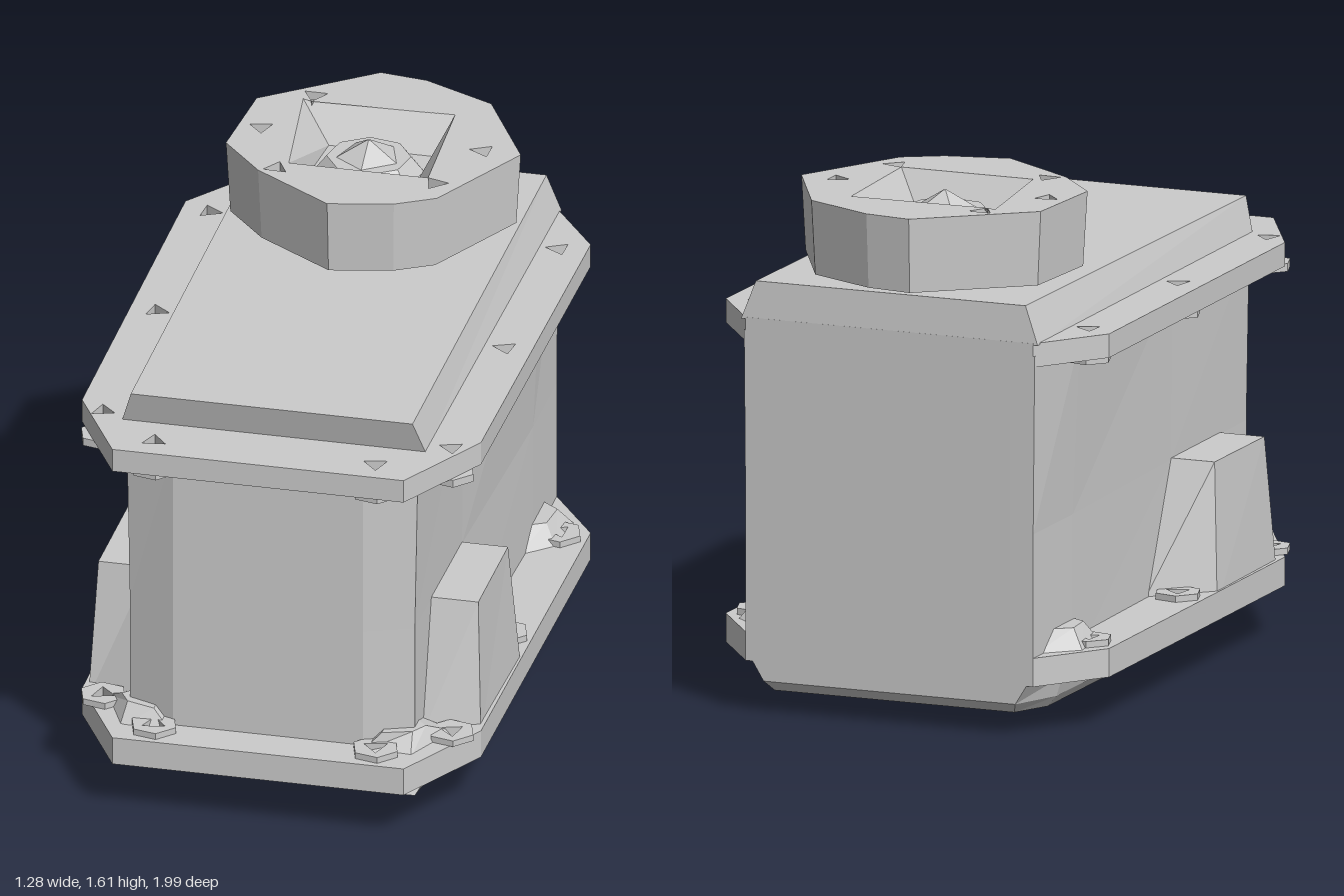
import * as THREE from 'three';

const grey = new THREE.MeshStandardMaterial({ color: 0xcccccc, flatShading: true, side: THREE.DoubleSide });

// Mirrors a half outline [x, z] (front to back, x > 0) into a full loop
const mirror = half => [...half, ...half.map(([x, z]) => [-x, z]).reverse()];
const flip = loop => loop.map(([x, z]) => [-x, z]).reverse();

// Skins levels [y, loop] from bottom to top; each loop runs front, +x, back, -x
function loft(levels, bottom = true, top = true) {
  const rings = levels.map(([y, loop]) => loop.map(([x, z]) => [x, y, z]));
  const n = rings[0].length, pos = [];
  const tri = (a, b, c) => pos.push(...a, ...b, ...c);
  for (let k = 0; k < rings.length - 1; k++) {
    for (let i = 0; i < n; i++) {
      const j = (i + 1) % n, a = rings[k], b = rings[k + 1];
      tri(a[i], a[j], b[j]);
      tri(a[i], b[j], b[i]);
    }
  }
  const last = rings[rings.length - 1];
  for (let i = 1; i < n - 1; i++) {
    if (bottom) tri(rings[0][0], rings[0][i + 1], rings[0][i]);
    if (top) tri(last[0], last[i], last[i + 1]);
  }
  const g = new THREE.BufferGeometry();
  g.setAttribute('position', new THREE.Float32BufferAttribute(pos, 3));
  g.computeVertexNormals();
  return g;
}

const ngon = (cx, cz, r, n, turn = 0) => Array.from({ length: n }, (_, i) => {
  const a = turn + i / n * Math.PI * 2;
  return [cx + r * Math.sin(a), cz + r * Math.cos(a)];
});

// Horizontal plate with holes, from y0 to y1
function plate(loop, holes, y0, y1) {
  const toVec = l => l.map(([x, z]) => new THREE.Vector2(x, -z));
  const shape = new THREE.Shape(toVec(loop));
  for (const h of holes) shape.holes.push(new THREE.Path(toVec(h)));
  const g = new THREE.ExtrudeGeometry(shape, { depth: y1 - y0, bevelEnabled: false });
  return g.rotateX(-Math.PI / 2).translate(0, y0, 0);
}

export function createModel() {
  const model = new THREE.Group();
  const add = (name, geometry, parent = model) => {
    const m = new THREE.Mesh(geometry, grey);
    m.name = name;
    parent.add(m);
    return m;
  };

  // Housing, slightly wider at the rear and pinched at mid height
  const low = mirror([[0.3, 0.86], [0.45, 0.8], [0.46, 0.2], [0.48, -0.63], [0.48, -0.94]]);
  const mid = mirror([[0.3, 0.86], [0.45, 0.8], [0.455, 0.2], [0.48, -0.63], [0.48, -0.94]]);
  const high = mirror([[0.3, 0.86], [0.46, 0.8], [0.46, 0.2], [0.505, -0.63], [0.485, -0.94]]);
  add('housing', loft([[0.16, low], [0.64, mid], [1.2, high]]));

  // Flanges with triangular bolt holes and raised bosses
  const rim = mirror([[0.46, 0.99], [0.63, 0.68], [0.64, -0.72], [0.48, -0.94]]);
  const bolts = [[0.55, -0.67], [0.55, 0.03], [0.55, 0.735], [0.35, 0.9]].flatMap(([x, z]) => [[x, z], [-x, z]]);
  const holes = bolts.map(([x, z], i) => ngon(x, z, 0.042, 3, 0.5 + i));
  const flange = (name, y0, y1, bossY0, bossY1) => {
    const group = new THREE.Group();
    group.name = name;
    add('rim', plate(rim, holes, y0, y1), group);
    bolts.forEach(([x, z], i) =>
      add('boss', plate(ngon(x, z, 0.075, 6, 0.3), [holes[i]], bossY0, bossY1), group));
    model.add(group);
  };
  flange('upperFlange', 1.165, 1.24, 1.14, 1.165);
  flange('lowerFlange', 0.16, 0.25, 0.25, 0.27);

  // Fillets at the housing corners above the lower flange
  const frontFillet = [[0.3, 0.89], [0.46, 0.9], [0.56, 0.68], [0.4, 0.6], [0.3, 0.8]];
  const frontFilletTop = [[0.36, 0.86], [0.45, 0.83], [0.48, 0.78], [0.4, 0.7], [0.36, 0.8]];
  const rearFillet = [[0.45, -0.5], [0.56, -0.6], [0.58, -0.78], [0.45, -0.9]];
  const rearFilletTop = [[0.45, -0.6], [0.52, -0.64], [0.53, -0.74], [0.45, -0.8]];
  for (const f of [l => l, flip]) {
    add('frontFillet', loft([[0.24, f(frontFillet)], [0.3, f(frontFilletTop)]]));
    add('rearFillet', loft([[0.24, f(rearFillet)], [0.31, f(rearFilletTop)]]));

    // Mounting lug on each side
    add('sideLug', loft([
      [0.2, f([[0.44, 0.71], [0.62, 0.64], [0.63, 0.15], [0.44, -0.03]])],
      [0.645, f([[0.44, 0.59], [0.6, 0.59], [0.6, 0.2], [0.44, 0.2]])],
    ]));
  }

  // Sump pan below the lower flange
  add('sumpPan', loft([
    [0.065, mirror([[0.29, 0.8], [0.45, 0.8], [0.46, 0.64], [0.46, -0.78], [0.4, -0.9]])],
    [0.1, mirror([[0.3, 0.82], [0.47, 0.78], [0.49, 0.65], [0.49, -0.78], [0.42, -0.94]])],
    [0.165, mirror([[0.3, 0.85], [0.46, 0.82], [0.51, 0.66], [0.51, -0.78], [0.46, -0.94]])],
  ]));

  // Drain plug with a dimple
  add('drainPlug', loft([
    [0.03, ngon(0, -0.54, 0.035, 6)],
    [0, ngon(0, -0.54, 0.05, 6)],
    [0.002, ngon(0, -0.54, 0.105, 6)],
    [0.07, ngon(0, -0.54, 0.15, 6)],
  ]));

  // Sloped lid
  const lid = loft([
    [1.235, mirror([[0.48, 0.78], [0.495, -0.94]])],
    [1.345, mirror([[0.445, 0.81], [0.45, -0.93]])],
  ]);
  const p = lid.attributes.position;
  for (let i = 0; i < p.count; i++) if (p.getY(i) > 1.3 && p.getZ(i) < 0) p.setY(i, 1.355);
  add('lid', lid);

  // Round cap: neck, lower drum, holed upper drum, tapered recess and stud
  const cap = new THREE.Group();
  cap.name = 'cap';
  model.add(cap);
  const outline = [[-0.04, -0.085], [0.16, -0.13], [0.28, -0.2], [0.46, -0.55], [0.29, -0.87],
    [0.06, -0.98], [-0.09, -1], [-0.42, -0.74], [-0.44, -0.42], [-0.3, -0.26]];
  const base = outline.map(([x, z]) => [x * 0.97, -0.54 + (z + 0.54) * 0.97]);
  const recess = [[-0.22, -0.33], [0.22, -0.33], [0.2, -0.77], [-0.28, -0.77]];
  const floor = [[-0.2, -0.4], [0.14, -0.4], [0.16, -0.69], [-0.18, -0.69]];
  const pockets = [[-0.25, -0.8], [0.25, -0.79], [0.34, -0.55], [0.25, -0.3], [-0.25, -0.29], [-0.36, -0.55]]
    .map(([x, z], i) => ngon(x, z, 0.042, 3, i * 1.3));
  add('neck', loft([[1.33, ngon(0, -0.6, 0.27, 8)], [1.385, ngon(0, -0.6, 0.27, 8)]]), cap);
  add('drumSide', loft([[1.375, base], [1.61, outline]], true, false), cap);
  add('drumTop', plate(outline, [recess, ...pockets], 1.609, 1.61), cap);
  add('recess', loft([[1.5, floor], [1.61, recess]], true, false), cap);
  for (const h of pockets) add('boltPocket', loft([[1.56, h], [1.61, h]], true, false), cap);
  add('stud', loft([
    [1.5, ngon(-0.02, -0.55, 0.17, 8, 0.2)],
    [1.55, ngon(-0.02, -0.55, 0.13, 8, 0.2)],
  ]), cap);
  add('studTip', loft([
    [1.55, ngon(-0.02, -0.55, 0.1, 5)],
    [1.605, ngon(-0.02, -0.55, 0.005, 5)],
  ]), cap);

  return model;
}
